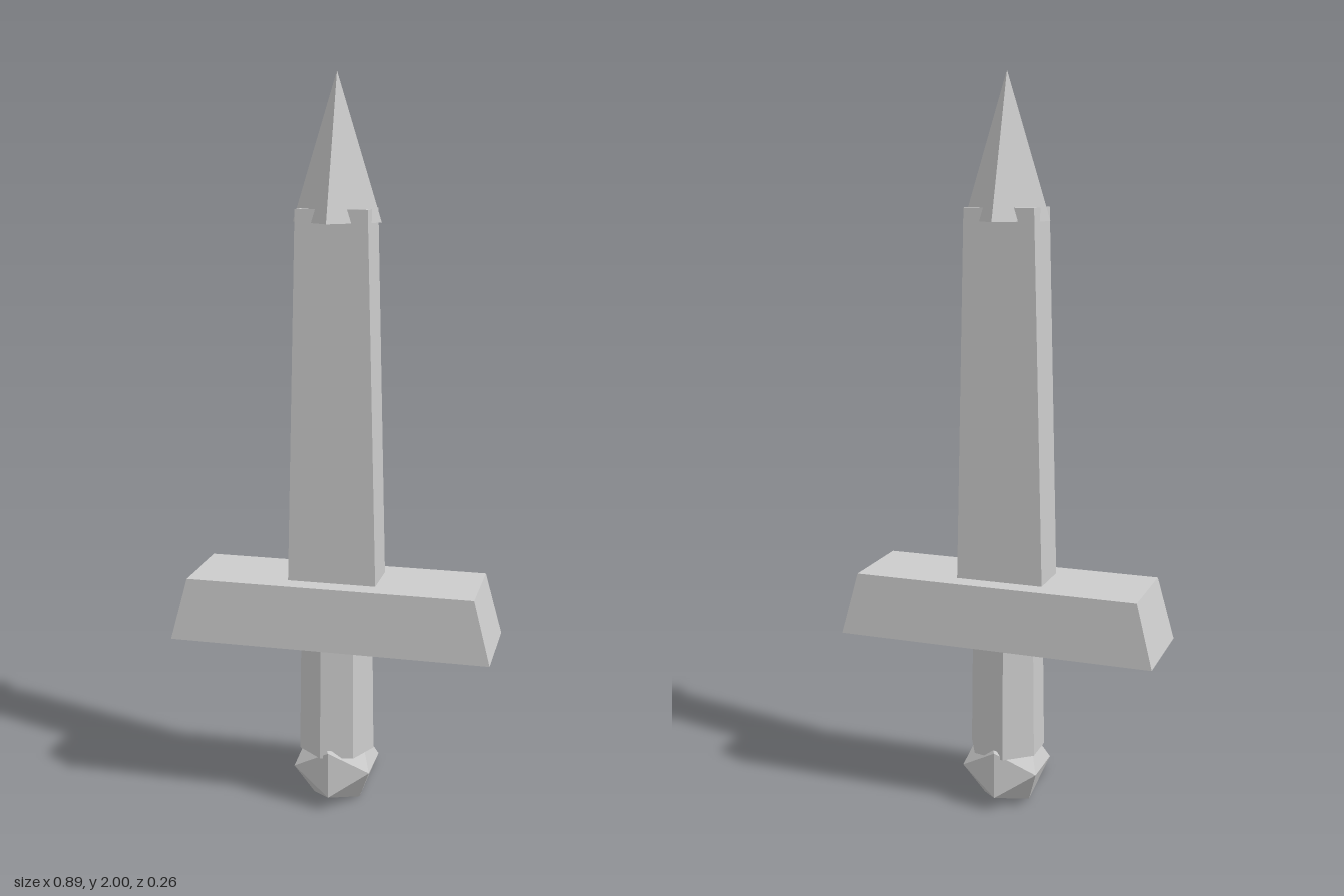
import * as THREE from 'three';

const steel = new THREE.MeshStandardMaterial({ color: 0xcccccc, flatShading: true });
steel.name = 'plain grey';

// Box between two heights, with separate half sizes at the bottom and top
function taperedBox(y0, y1, bottom, top) {
  const geo = new THREE.BoxGeometry(2, 1, 2).toNonIndexed();
  const p = geo.attributes.position;
  for (let i = 0; i < p.count; i++) {
    const isTop = p.getY(i) > 0;
    const [hx, hz] = isTop ? top : bottom;
    p.setXYZ(i, p.getX(i) * hx, isTop ? y1 : y0, p.getZ(i) * hz);
  }
  geo.computeVertexNormals();
  return geo;
}

export function createModel() {
  const sword = new THREE.Group();
  sword.name = 'sword';

  const add = (name, geo, y = 0) => {
    const mesh = new THREE.Mesh(geo, steel);
    mesh.name = name;
    mesh.position.y = y;
    sword.add(mesh);
    return mesh;
  };

  // Faceted ball at the end of the grip
  add('pommel', new THREE.IcosahedronGeometry(0.126, 0), 0.107);

  // Seven-sided grip with one edge towards +x
  add('grip', new THREE.CylinderGeometry(0.101, 0.106, 0.335, 7, 1, false, Math.PI / 2), 0.3225);

  // Crossguard, narrowing upwards
  add('crossguard', taperedBox(0.48, 0.655, [0.443, 0.131], [0.397, 0.12]));

  // Blade, narrowing in width only
  add('blade', taperedBox(0.6, 1.655, [0.123, 0.066], [0.096, 0.066]));

  // Four-sided point, set corner-on over the blade
  add('bladeTip', new THREE.ConeGeometry(0.119, 0.38, 4), 1.81);

  return sword;
}
